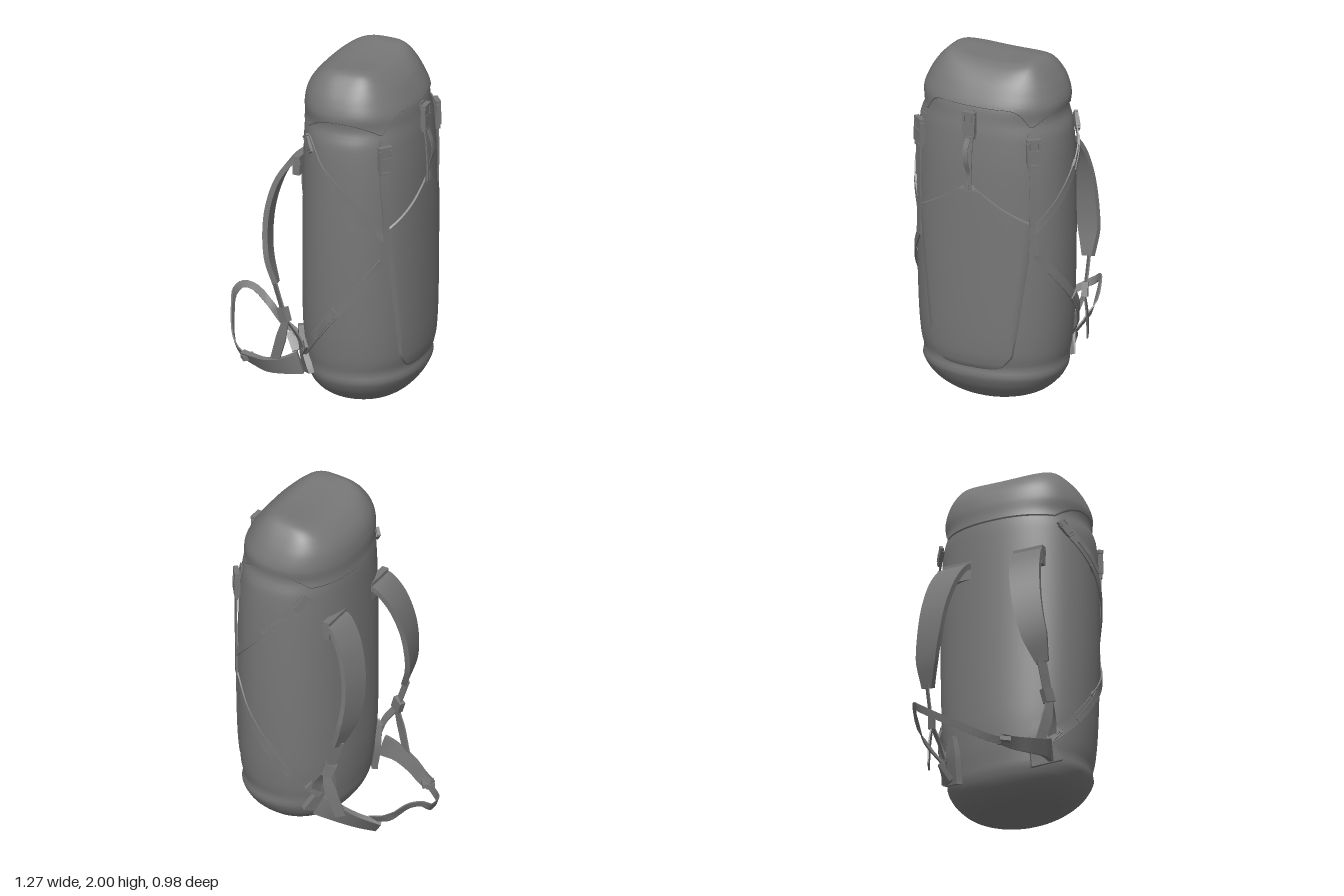
import * as THREE from 'three';
import { toCreasedNormals } from 'three/addons/utils/BufferGeometryUtils.js';

const V = (x, y, z) => new THREE.Vector3(x, y, z);
const mat = new THREE.MeshStandardMaterial({ color: 0x777777, side: THREE.DoubleSide });

// Pack profile rows: height, back x, front x, half width in z, squareness
const PROFILE = [
  [0, 0.2, 0.31, 0.06, 2.1], [0.015, 0.1, 0.4, 0.18, 2.1], [0.05, 0.02, 0.47, 0.285, 2.1],
  [0.11, -0.035, 0.53, 0.36, 2.2], [0.17, -0.06, 0.565, 0.4, 2.2], [0.205, -0.065, 0.575, 0.412, 2.2],
  [0.24, -0.07, 0.565, 0.407, 2.2], [0.32, -0.08, 0.58, 0.422, 2.2], [0.5, -0.09, 0.588, 0.438, 2.2],
  [0.95, -0.09, 0.59, 0.45, 2.2], [1.4, -0.085, 0.586, 0.445, 2.2], [1.62, -0.08, 0.57, 0.43, 2.2],
  [1.7, -0.072, 0.555, 0.4, 2.3], [1.78, -0.07, 0.54, 0.404, 2.4], [1.86, -0.05, 0.5, 0.376, 2.6],
  [1.93, 0, 0.45, 0.333, 3], [1.97, 0.05, 0.41, 0.298, 3.4], [1.99, 0.1, 0.38, 0.272, 3.6], [2, 0.16, 0.355, 0.245, 3.6],
];

// Smooth interpolation of a table by its first column
function sample(table, y) {
  let i = 0;
  while (i < table.length - 2 && y > table[i + 1][0]) i++;
  const a = table[i], b = table[i + 1], h = b[0] - a[0];
  const t = THREE.MathUtils.clamp((y - a[0]) / h, 0, 1);
  const p = table[Math.max(0, i - 1)], q = table[Math.min(table.length - 1, i + 2)];
  return a.slice(1).map((va, k) => {
    const vb = b[k + 1];
    const ma = (vb - p[k + 1]) / (b[0] - p[0]) * h, mb = (q[k + 1] - va) / (q[0] - a[0]) * h;
    const t2 = t * t, t3 = t2 * t;
    return (2 * t3 - 3 * t2 + 1) * va + (t3 - 2 * t2 + t) * ma + (3 * t2 - 2 * t3) * vb + (t3 - t2) * mb;
  });
}

function section(y) {
  const [x0, x1, rz, n] = sample(PROFILE, y);
  return { cx: (x0 + x1) / 2, rx: (x1 - x0) / 2, rz, n };
}

// Outward horizontal normal at a point on the pack
function normalAt(p) {
  const { cx, rx, rz } = section(p.y);
  return V((p.x - cx) / rx ** 2, 0, p.z / rz ** 2).normalize();
}
const rest = (r, n) => Math.max(0, 1 - Math.abs(r) ** n) ** (1 / n);

// Points on the pack: on a side (s = +1 or -1) by x, or on the outer panel by z
function onSide(x, y, s, off = 0.012) {
  const { cx, rx, rz, n } = section(y);
  const p = V(x, y, s * rz * rest((x - cx) / rx, n));
  return p.addScaledVector(normalAt(p), off);
}
function onPanel(z, y, off) {
  const { cx, rx, rz, n } = section(y);
  const p = V(cx + rx * rest(z / rz, n), y, z);
  return p.addScaledVector(normalAt(p), off);
}

// Grid surface from a function of (row, column)
function grid(rows, cols, fn) {
  const pos = [], idx = [];
  for (let i = 0; i <= rows; i++) for (let j = 0; j <= cols; j++) {
    pos.push(...fn(i / rows, j / cols).toArray());
    if (i < rows && j < cols) {
      const a = i * (cols + 1) + j, d = a + cols + 1;
      idx.push(a, d, a + 1, a + 1, d, d + 1);
    }
  }
  const g = new THREE.BufferGeometry();
  g.setAttribute('position', new THREE.Float32BufferAttribute(pos, 3));
  g.setIndex(idx);
  return toCreasedNormals(g, 0.7);
}

// Flat strap along a curve; widths are spread evenly, side(t, tangent, point) gives its width direction
function strapGeometry(pts, widths, thick, side, steps = 28) {
  const curve = new THREE.CatmullRomCurve3(pts), pos = [], idx = [];
  for (let i = 0; i <= steps; i++) {
    const t = i / steps, p = curve.getPoint(t), T = curve.getTangent(t);
    const f = t * (widths.length - 1), k = Math.min(widths.length - 2, Math.floor(f));
    const w = THREE.MathUtils.lerp(widths[k], widths[k + 1], f - k) / 2;
    const s = side(t, T, p);
    s.addScaledVector(T, -s.dot(T)).normalize();
    const n = T.clone().cross(s);
    for (const [u, v] of [[1, 1], [-1, 1], [-1, -1], [1, -1]])
      pos.push(...p.clone().addScaledVector(s, u * w).addScaledVector(n, v * thick / 2).toArray());
    if (i < steps) for (let j = 0; j < 4; j++) {
      const a = i * 4 + j, b = i * 4 + (j + 1) % 4;
      idx.push(a, b, b + 4, a, b + 4, a + 4);
    }
  }
  const e = steps * 4;
  idx.push(0, 2, 1, 0, 3, 2, e, e + 1, e + 2, e, e + 2, e + 3);
  const g = new THREE.BufferGeometry();
  g.setAttribute('position', new THREE.Float32BufferAttribute(pos, 3));
  g.setIndex(idx);
  return toCreasedNormals(g, 0.7);
}
const hugging = (t, T, p) => T.clone().cross(normalAt(p));
const along = (a, b = a) => t => a.clone().lerp(b, t);

export function createModel() {
  const model = new THREE.Group();
  const add = (name, geo, parent = model) => {
    const m = new THREE.Mesh(geo, mat);
    m.name = name;
    parent.add(m);
    return m;
  };
  const strap = (name, pts, widths, side = hugging, thick = 0.008) =>
    add(name, strapGeometry(pts, widths, thick, side));

  // Ring point of the pack, closed at both ends, with a shallow dip across the top
  const ring = (y, a, k, off) => {
    const { cx, rx, rz, n } = section(y), c = Math.cos(a), s = Math.sin(a);
    const x = cx + k * (rx + off) * Math.sign(c) * Math.abs(c) ** (2 / n);
    const z = k * (rz + off) * Math.sign(s) * Math.abs(s) ** (2 / n);
    const dip = y > 1.9 ? 0.018 * ((y - 1.9) / 0.1) * Math.max(0, 1 - (z / 0.25) ** 2) : 0;
    return V(x, y - dip, z);
  };
  add('packBody', grid(90, 72, (v, u) => {
    const y = 1 - Math.cos(Math.PI * THREE.MathUtils.clamp((v - 0.03) / 0.94, 0, 1));
    const k = Math.min(1, v / 0.03, (1 - v) / 0.03);
    return ring(y, u * Math.PI * 2, k, 0);
  }));

  // Lid shell with a hem arching over the sides and the outer face
  add('lid', grid(24, 120, (v, u) => {
    const a = u * Math.PI * 2, c = Math.cos(a);
    const hem = c > 0.66 ? 1.67 + 0.105 * Math.sin(Math.PI / 2 * Math.min(1, (c - 0.66) / 0.26))
      : 1.66 + 0.08 * Math.max(0, 1 - ((c - 0.03) / 0.66) ** 2);
    const y = hem + (1.95 - hem) * v;
    return ring(y, a, 1, v === 0 ? -0.004 : 0.006 * (1 - v));
  }));

  // Raised outer pocket
  const pocket = [[0.235, 0.1], [0.26, 0.19], [0.33, 0.25], [0.5, 0.28], [0.92, 0.335], [1.12, 0.36], [1.22, 0.19], [1.34, 0.01]];
  add('frontPocket', grid(50, 28, (v, u) => {
    const y = 0.235 + 1.105 * v;
    const i = Math.min(pocket.length - 2, pocket.findLastIndex(r => r[0] <= y + 1e-6));
    const w = THREE.MathUtils.mapLinear(y, pocket[i][0], pocket[i + 1][0], pocket[i][1], pocket[i + 1][1]);
    const edge = u === 0 || u === 1 || v === 0 || v === 1;
    return onPanel((1 - 2 * u) * -w, y, edge ? -0.006 : 0.01);
  }));

  // Side-release buckle lying on the pack, tilted by roll
  const buckle = (name, p, size = 1, roll = 0) => {
    const g = new THREE.Group();
    g.name = name;
    const box = (part, w, h, d, x, y, z = 0) => add(part, new THREE.BoxGeometry(w, h, d), g).position.set(x, y, z);
    box('socket', 0.07, 0.07, 0.03, 0, -0.02);
    box('plug', 0.04, 0.045, 0.022, 0, 0.035);
    box('topBar', 0.072, 0.018, 0.026, 0, 0.065);
    box('bottomBar', 0.06, 0.016, 0.024, 0, -0.07);
    for (const s of [-1, 1]) {
      box('prong', 0.012, 0.045, 0.024, s * 0.03, 0.03);
      box('bottomLink', 0.012, 0.03, 0.02, s * 0.024, -0.055);
    }
    g.position.copy(p);
    g.lookAt(p.clone().add(normalAt(p)));
    g.rotateZ(roll);
    g.scale.setScalar(size);
    model.add(g);
  };

  // Central lid strap
  strap('lidStrap', [1.77, 1.7, 1.55, 1.42, 1.31].map(y => onPanel(0, y, 0.016)), [0.045, 0.045]);
  buckle('lidBuckle', onPanel(0, 1.685, 0.026), 1.05);
  strap('lidStrapTail', [V(0.6, 1.61, 0), V(0.625, 1.54, 0.005), V(0.628, 1.48, 0), V(0.605, 1.4, -0.005), V(0.61, 1.31, 0)], [0.03, 0.03, 0.015], along(V(0, 0, 1)), 0.005);

  for (const s of [1, -1]) {
    const side = s > 0 ? 'left' : 'right';
    const run = pts => pts.map(([x, y, off]) => onSide(x, y, s, off));

    // Corner lid straps and buckles
    strap(side + 'CornerStrap', run([[0.465, 1.66, 0.014], [0.475, 1.5, 0.02], [0.485, 1.3, 0.018], [0.49, 1.1], [0.485, 0.94]]), [0.05, 0.05, 0.06, 0.04, 0.035, 0.06]);
    buckle(side + 'CornerBuckle', onSide(0.475, 1.55, s, 0.026), 1.1);

    // Diagonal compression straps with buckles, ladder locks and loose tails
    strap(side + 'UpperSideStrap', run([[0.05, 1.62], [0.15, 1.49, 0.02], [0.25, 1.38, 0.022], [0.37, 1.23], [0.485, 1.08]]), [0.06, 0.05, 0.045, 0.04]);
    strap(side + 'LowerSideStrap', run([[0.485, 0.96], [0.37, 0.79], [0.25, 0.64, 0.022], [0.12, 0.46, 0.02], [0.01, 0.31]]), [0.04, 0.05, 0.055, 0.06]);
    buckle(side + 'UpperSideBuckle', onSide(0.065, 1.59, s, 0.02), 0.7, s * 0.7);
    buckle(side + 'LowerSideBuckle', onSide(0.02, 0.33, s, 0.02), 0.7, -s * 0.7);
    strap(side + 'UpperLadderLock', run([[0.215, 1.42, 0.025], [0.24, 1.39, 0.025]]), [0.06, 0.06], hugging, 0.014);
    strap(side + 'LowerLadderLock', run([[0.25, 0.645, 0.025], [0.225, 0.61, 0.025]]), [0.06, 0.06], hugging, 0.014);
    strap(side + 'UpperTail', run([[0.13, 1.53, 0.025], [0.19, 1.46, 0.034], [0.25, 1.38, 0.04]]), [0.035, 0.025], hugging, 0.005);
    strap(side + 'LowerTail', run([[0.25, 0.65, 0.036], [0.2, 0.57, 0.036], [0.12, 0.44, 0.026]]), [0.04, 0.025], hugging, 0.005);

    // Padded shoulder strap, then webbing and adjuster
    const P = (x, y, z) => V(x, y, z * s);
    strap(side + 'ShoulderStrap', [P(-0.04, 1.42, 0.22), P(-0.085, 1.415, 0.225), P(-0.16, 1.32, 0.25), P(-0.212, 1.16, 0.28), P(-0.225, 1, 0.305), P(-0.205, 0.84, 0.335), P(-0.155, 0.7, 0.355)],
      [0.18, 0.18, 0.18, 0.17, 0.16, 0.14, 0.07], along(P(0, 0, 1), P(0.3, 0, 1)), 0.03);
    add(side + 'ShoulderAnchor', new THREE.BoxGeometry(0.04, 0.11, 0.18)).position.set(-0.055, 1.4, 0.22 * s);
    strap(side + 'ShoulderWebbing', [P(-0.17, 0.72, 0.355), P(-0.13, 0.6, 0.36), P(-0.095, 0.5, 0.36), P(-0.03, 0.4, 0.345), P(0, 0.31, 0.33)], [0.055, 0.05, 0.05], along(P(0.9, 0, 0.7)));
    const adjuster = add(side + 'ShoulderAdjuster', new THREE.BoxGeometry(0.065, 0.08, 0.035));
    adjuster.position.set(-0.105, 0.52, 0.36 * s);
    adjuster.rotation.set(0, -0.4 * s, 0.35);
    strap(side + 'LowerWebbing', [P(-0.09, 0.5, 0.365), P(-0.12, 0.38, 0.365), P(-0.17, 0.22, 0.345)], [0.04, 0.07, 0.06], along(P(1, 0, 0.4)));

    // Padded gusset joining straps to the pack base
    strap(side + 'HipGusset', run([[-0.035, 0.43, 0.012], [-0.02, 0.31, 0.014], [0.02, 0.17, 0.01]]), [0.04, 0.11, 0.18], hugging, 0.035);
  }

  // Hip belt wings, uneven because the belt hangs loose
  const up = V(0, 1, 0);
  strap('leftHipWing', [V(-0.02, 0.235, 0.33), V(-0.1, 0.21, 0.345), V(-0.22, 0.18, 0.32), V(-0.32, 0.168, 0.265), V(-0.4, 0.168, 0.225)], [0.13, 0.09, 0.075, 0.06], along(up, V(0, 1, 0.7)), 0.028);
  strap('rightHipWing', [V(-0.02, 0.235, -0.33), V(-0.1, 0.19, -0.29), V(-0.2, 0.135, -0.23), V(-0.305, 0.095, -0.165)], [0.13, 0.12, 0.11, 0.11], along(up, V(0, 1, -0.7)), 0.028);

  // Hip belt webbing loop and its buckle
  strap('hipBeltWebbing', [V(-0.27, 0.15, -0.19), V(-0.37, 0.2, -0.215), V(-0.45, 0.27, -0.24), V(-0.54, 0.36, -0.23), V(-0.6, 0.378, -0.2),
    V(-0.627, 0.345, -0.16), V(-0.6, 0.29, -0.07), V(-0.52, 0.2, 0.1), V(-0.45, 0.165, 0.18), V(-0.37, 0.16, 0.24)], [0.04, 0.04], along(V(-0.5, 0.8, -0.4), V(-0.2, 1, 0.3)));
  const clip = add('hipBeltClip', new THREE.BoxGeometry(0.07, 0.025, 0.06));
  clip.position.set(-0.375, 0.165, 0.235);
  clip.rotation.y = 0.7;
  return model;
}
